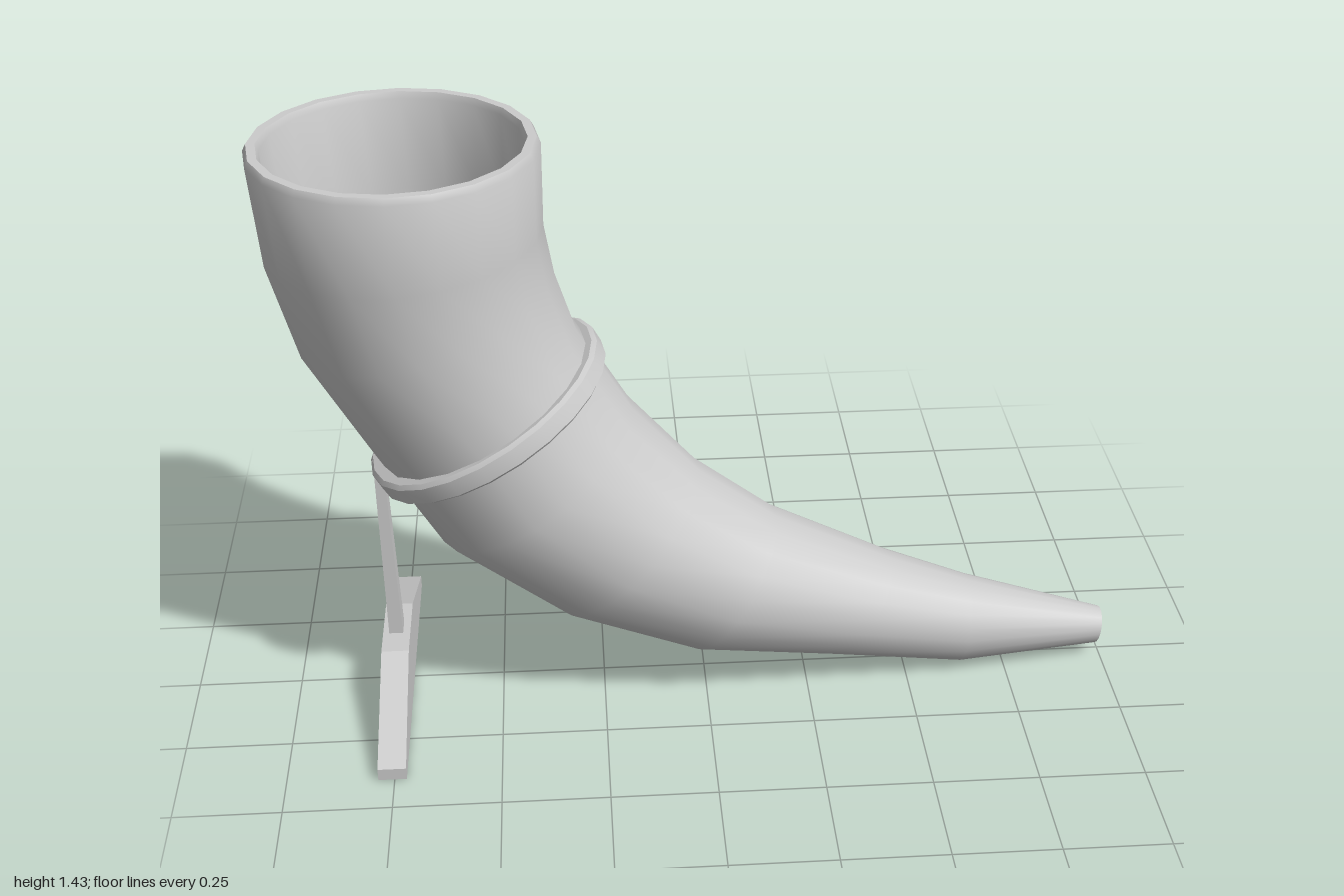
import * as THREE from 'three';
import { toCreasedNormals } from 'three/addons/utils/BufferGeometryUtils.js';

const SEG = 20;
const WALL = 0.035;

// Horn sections from tip to rim: outer bend (x, y), inner bend (x, y), half width in z
const SECTIONS = [
  [0.985, 0.027, 1.0, 0.118, 0.047],
  [0.635, 0.005, 0.66, 0.22, 0.11],
  [0.3, 0.055, 0.465, 0.294, 0.15],
  [-0.04, 0.1, 0.176, 0.43, 0.203],
  [-0.36, 0.23, -0.01, 0.567, 0.24],
  [-0.63, 0.44, -0.165, 0.74, 0.272],
  [-0.78, 0.7, -0.29, 0.95, 0.287],
  [-0.92, 0.95, -0.337, 1.1, 0.3],
  [-0.98, 1.18, -0.357, 1.22, 0.31],
  [-0.998, 1.415, -0.355, 1.415, 0.321],
];

// Shrinks a section towards its centre by d, optionally at a new height
function inset([ax, ay, bx, by, r], d, y) {
  const k = d / Math.hypot(bx - ax, by - ay);
  const dx = (bx - ax) * k, dy = (by - ay) * k;
  return [ax + dx, y ?? ay + dy, bx - dx, y ?? by - dy, r - d];
}

// Skins elliptical sections; both ends are closed with a fan
function loft(sections) {
  const pos = [], index = [];
  for (const [ax, ay, bx, by, r] of sections) {
    for (let j = 0; j < SEG; j++) {
      const t = (j / SEG) * Math.PI * 2, c = Math.cos(t) / 2;
      pos.push((ax + bx) / 2 + (ax - bx) * c, (ay + by) / 2 + (ay - by) * c, r * Math.sin(t));
    }
  }
  const last = sections.length - 1, pole = sections.length * SEG;
  for (const [ax, ay, bx, by] of [sections[0], sections[last]]) {
    pos.push((ax + bx) / 2, (ay + by) / 2, 0);
  }
  for (let j = 0; j < SEG; j++) {
    const n = (j + 1) % SEG;
    for (let i = 0; i < last; i++) {
      const a = i * SEG + j, b = i * SEG + n;
      index.push(a, b, a + SEG, b, b + SEG, a + SEG);
    }
    index.push(pole, n, j, pole + 1, last * SEG + j, last * SEG + n);
  }
  const geo = new THREE.BufferGeometry();
  geo.setAttribute('position', new THREE.Float32BufferAttribute(pos, 3));
  geo.setIndex(index);
  return toCreasedNormals(geo, 0.75);
}

export function createModel() {
  const group = new THREE.Group();
  const material = new THREE.MeshStandardMaterial({ color: 0xcccccc });
  const add = (name, geo) => {
    const mesh = new THREE.Mesh(geo, material);
    mesh.name = name;
    group.add(mesh);
    return mesh;
  };

  // Hollow horn: outer skin, rounded lip, then the inner skin back down
  const rim = SECTIONS[SECTIONS.length - 1];
  const inner = SECTIONS.slice(2, -1).reverse().map((s) => inset(s, WALL));
  add('horn', loft([
    ...SECTIONS,
    inset(rim, 0.008, 1.43),
    inset(rim, 0.028, 1.43),
    inset(rim, WALL, 1.415),
    ...inner,
  ]));

  // Band around the horn, tilted with its bend
  const profile = [
    [0.26, -0.028], [0.296, -0.028], [0.306, -0.02], [0.306, 0.02],
    [0.296, 0.028], [0.26, 0.028], [0.26, -0.028],
  ].map(([x, y]) => new THREE.Vector2(x, y));
  const band = add('band', toCreasedNormals(new THREE.LatheGeometry(profile, 24), 0.5));
  band.position.set(-0.504, 0.76, 0);
  band.rotation.z = 0.502;

  // Slim post, narrower at the top
  const post = new THREE.BoxGeometry(0.034, 0.5, 0.05);
  const p = post.attributes.position;
  for (let i = 0; i < p.count; i++) {
    if (p.getY(i) > 0) p.setX(i, p.getX(i) * 0.65 - 0.009);
  }
  post.computeVertexNormals();
  add('post', post).position.set(-0.756, 0.39, 0);

  // Foot with sloping shoulders, extruded across x
  const outline = new THREE.Shape([
    [-0.4, 0], [0.4, 0], [0.4, 0.03], [0.1, 0.15], [-0.1, 0.15], [-0.4, 0.03],
  ].map(([x, y]) => new THREE.Vector2(x, y)));
  const foot = add('foot', new THREE.ExtrudeGeometry(outline, { depth: 0.066, bevelEnabled: false }));
  foot.rotation.y = Math.PI / 2;
  foot.position.x = -0.788;

  return group;
}
